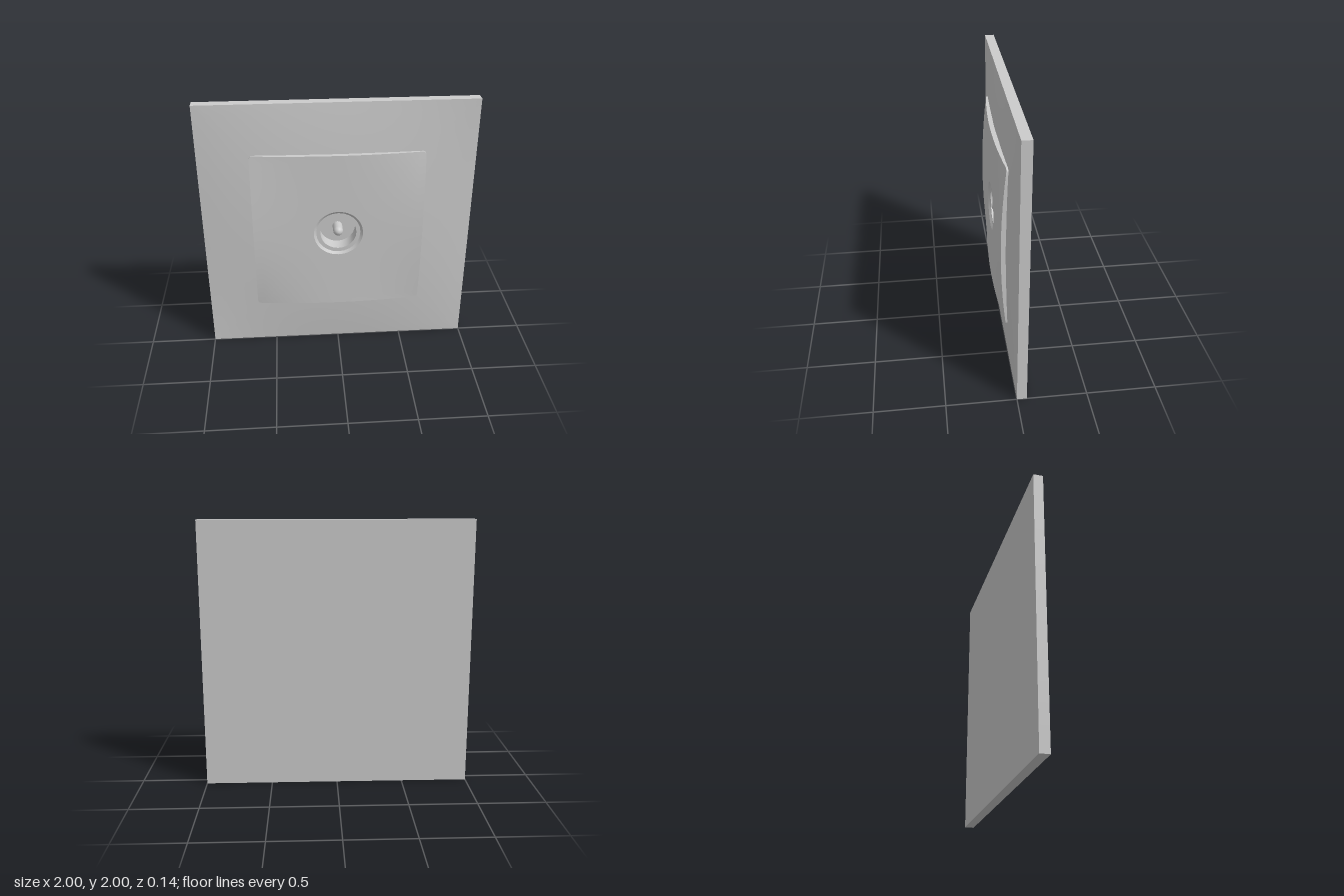
import * as THREE from 'three';
import { toCreasedNormals } from 'three/addons/utils/BufferGeometryUtils.js';

const grey = new THREE.MeshStandardMaterial({ color: 0xcccccc, side: THREE.DoubleSide });
const HALF = 0.63, CORNER = 0.025, HOLE = 0.183;

// Outline of a rounded square, counter-clockwise seen from the front
function roundedSquare() {
  const points = [], arc = 4, side = 14, c = HALF - CORNER;
  for (let q = 0; q < 4; q++) {
    const turn = (q * Math.PI) / 2;
    const add = (x, y) => points.push(new THREE.Vector2(x, y).rotateAround(new THREE.Vector2(), turn));
    for (let i = 1; i < side; i++) add(HALF, -c + (2 * c * i) / side);
    for (let i = 0; i <= arc; i++) {
      const a = (i / arc) * Math.PI / 2;
      add(c + CORNER * Math.cos(a), c + CORNER * Math.sin(a));
    }
    add(c, HALF);
  }
  return points;
}

// Skin through closed loops of equal length
function skin(loops, crease = 0.5) {
  const n = loops[0].length, pos = [], index = [];
  loops.forEach(loop => loop.forEach(p => pos.push(p.x, p.y, p.z)));
  for (let k = 0; k < loops.length - 1; k++) {
    for (let i = 0; i < n; i++) {
      const j = (i + 1) % n, a = k * n + i, d = k * n + j;
      index.push(a, a + n, d + n, a, d + n, d);
    }
  }
  const g = new THREE.BufferGeometry();
  g.setAttribute('position', new THREE.Float32BufferAttribute(pos, 3));
  g.setIndex(index);
  return toCreasedNormals(g, crease);
}

// Loops blending from the round hole to an outline, lifted by a height rule
function blend(outline, steps, height) {
  return Array.from({ length: steps + 1 }, (_, k) => outline.map(p => {
    const q = p.clone().setLength(HOLE).lerp(p, k / steps);
    return new THREE.Vector3(q.x, q.y, height(q.x, q.y));
  }));
}

export function createModel() {
  const group = new THREE.Group();
  const add = (name, geometry) => {
    const mesh = new THREE.Mesh(geometry, grey);
    mesh.name = name;
    group.add(mesh);
    return mesh;
  };
  const rounded = roundedSquare();

  // Wall plate with a pillowed front, straight sides and a flat back
  const square = rounded.map(p => p.clone().divideScalar(Math.max(Math.abs(p.x), Math.abs(p.y))));
  const plate = blend(square, 12, (x, y) => 0.058 * (1 - x * x) * (1 - y * y));
  plate.push(square.map(p => new THREE.Vector3(p.x, p.y, -0.07)));
  plate.push(square.map(() => new THREE.Vector3(0, 0, -0.07)));
  add('wallPlate', skin(plate));

  // Raised centre panel whose corners fall back
  const panelHeight = (x, y) => 0.07 - 0.037 * ((x * y) / (HALF * HALF)) ** 2;
  const panel = blend(rounded, 10, panelHeight);
  panel.push(rounded.map(p => new THREE.Vector3(p.x, p.y, panelHeight(p.x, p.y) - 0.033)));
  add('centrePanel', skin(panel));

  // Socket: chamfered rim, ledge, bore and floor
  const profile = [[0, -0.05], [0.135, -0.05], [0.135, 0.055], [0.165, 0.055], [0.185, 0.07]]
    .map(([r, z]) => new THREE.Vector2(r, z));
  const socket = toCreasedNormals(new THREE.LatheGeometry(profile, 24), 0.5);
  add('socket', socket.rotateX(Math.PI / 2));

  // Contact pin with a round tip
  const pinProfile = [new THREE.Vector2(0.037, -0.05)];
  for (let i = 0; i <= 6; i++) {
    const a = (i / 6) * Math.PI / 2;
    pinProfile.push(new THREE.Vector2(0.037 * Math.cos(a), 0.028 + 0.037 * Math.sin(a)));
  }
  add('contactPin', new THREE.LatheGeometry(pinProfile, 16).rotateX(Math.PI / 2));

  group.children.forEach(mesh => { mesh.position.y = 1; });
  return group;
}
